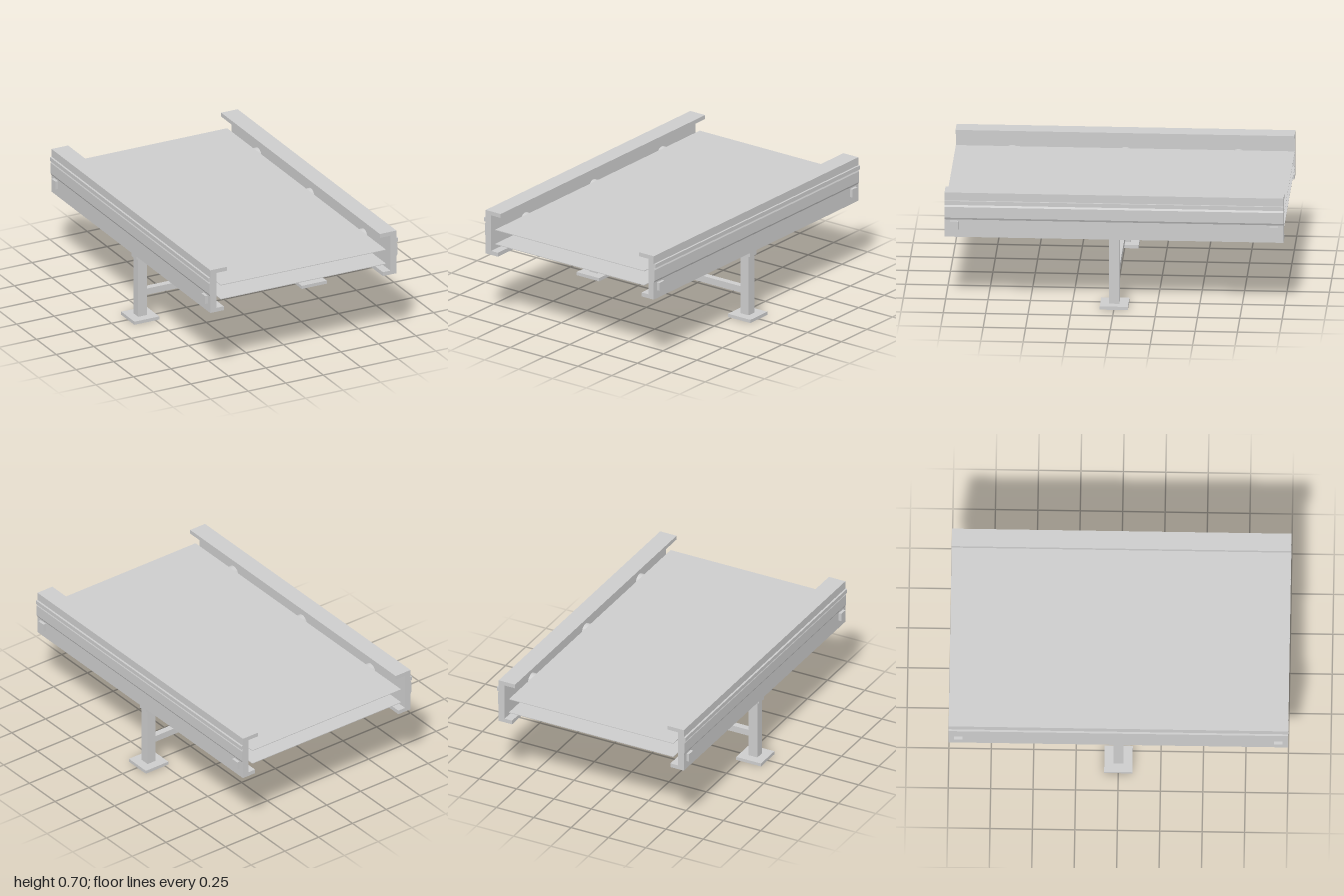
import * as THREE from 'three';

export function createModel() {
  const model = new THREE.Group();
  model.name = 'conveyorSection';
  const grey = new THREE.MeshStandardMaterial({ color: 0xcccccc });
  grey.name = 'lightGrey';

  const add = (name, geometry, x = 0, y = 0, z = 0) => {
    const mesh = new THREE.Mesh(geometry, grey);
    mesh.name = name;
    mesh.position.set(x, y, z);
    model.add(mesh);
    return mesh;
  };
  // Box given by its limits in x and y, and its depth and centre in z
  const box = (name, x0, x1, y0, y1, depth, z = 0) =>
    add(name, new THREE.BoxGeometry(Math.abs(x1 - x0), y1 - y0, depth), (x0 + x1) / 2, (y0 + y1) / 2, z);

  // C-shaped side rail with a guide rib and a shallow raised band outside
  const railProfile = [
    [0.51, 0.705], [0.51, 0.68], [0.58, 0.68], [0.58, 0.455], [0.53, 0.455], [0.53, 0.43],
    [0.62, 0.43], [0.62, 0.538], [0.626, 0.55], [0.626, 0.617], [0.62, 0.63],
    [0.632, 0.632], [0.632, 0.656], [0.62, 0.656], [0.62, 0.705],
  ];

  for (const [side, s] of [['left', 1], ['right', -1]]) {
    const shape = new THREE.Shape(railProfile.map(([x, y]) => new THREE.Vector2(s * x, y)));
    add(side + 'Rail', new THREE.ExtrudeGeometry(shape, { depth: 2, bevelEnabled: false }), 0, 0, -1);

    // Square mounting blocks near the rail ends
    for (const z of [-0.943, 0.943]) box(side + 'Block', s * 0.615, s * 0.638, 0.48, 0.53, 0.05, z);

    // Leg and foot plate
    box(side + 'Leg', s * 0.53, s * 0.588, 0.02, 0.39, 0.06);
    box(side + 'Foot', s * 0.475, s * 0.641, 0, 0.02, 0.166);
  }

  // Cross members of the stand
  box('topCrossbar', -0.6, 0.6, 0.39, 0.44, 0.06);
  box('lowerBrace', -0.53, 0.53, 0.145, 0.185, 0.04);

  // Upper and lower runs of the belt, open at both ends
  box('upperBelt', -0.55, 0.55, 0.593, 0.597, 2);
  box('lowerBelt', -0.55, 0.55, 0.503, 0.507, 2);

  // Rollers between the rails
  const rollerGeometry = new THREE.CylinderGeometry(0.045, 0.045, 1.16, 32);
  for (const z of [-0.667, 0, 0.667]) add('roller', rollerGeometry, 0, 0.55, z).rotation.z = Math.PI / 2;

  return model;
}
